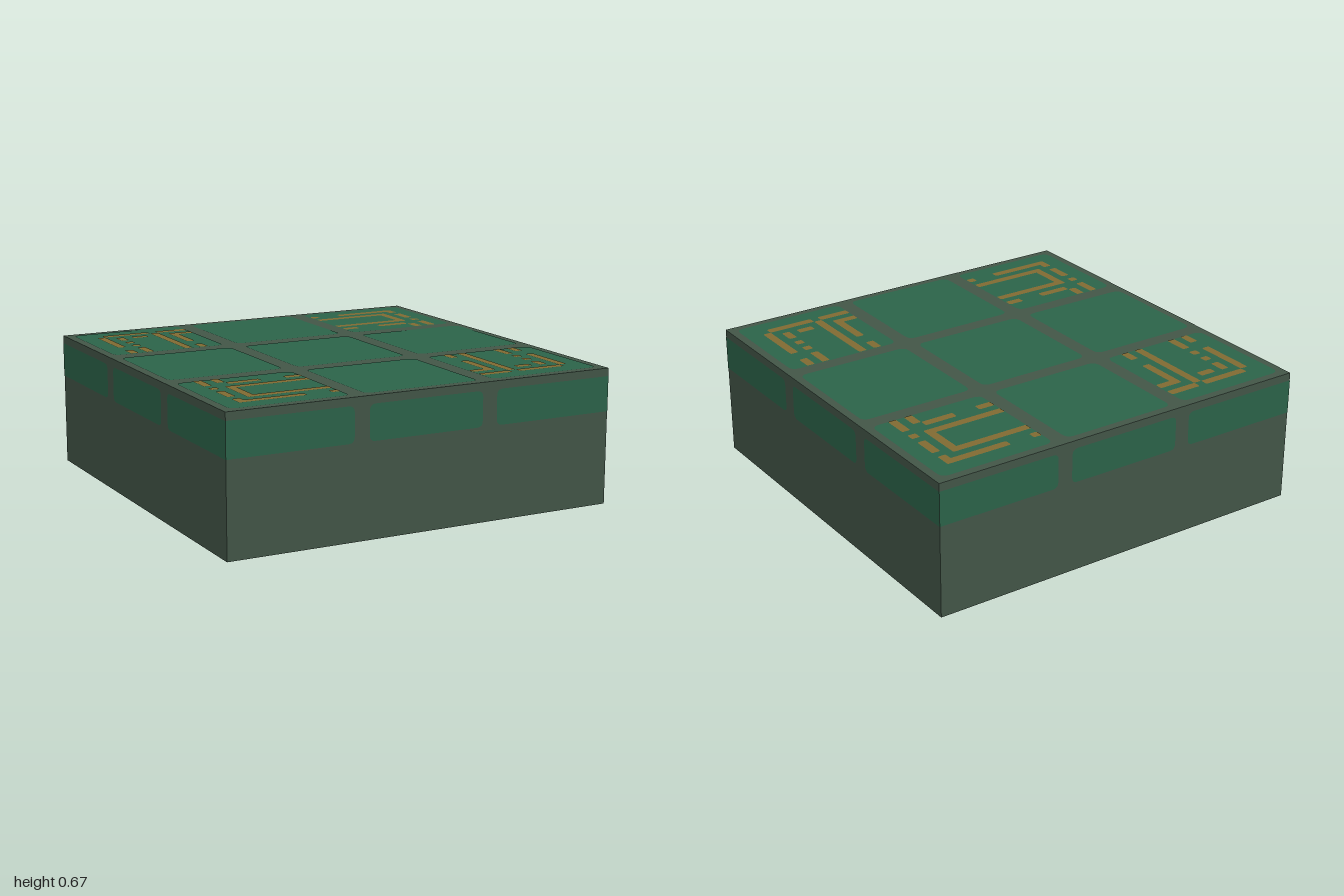
import * as THREE from 'three';

const HEIGHT = 0.667;
const CELL = 2 / 48; // traces sit on a 48 x 48 grid

const stone = new THREE.MeshStandardMaterial({ name: 'grey green body', color: 0x425547 });
const green = new THREE.MeshStandardMaterial({ name: 'green panel', color: 0x2b6349 });
const copper = new THREE.MeshStandardMaterial({ name: 'copper trace', color: 0x806a32 });

// Flat rectangle with separate corner radii on its left and right ends
function plate(x0, y0, x1, y1, rl, rr = rl) {
  const s = new THREE.Shape();
  s.moveTo(x0 + rl, y0);
  s.lineTo(x1 - rr, y0);
  if (rr) s.quadraticCurveTo(x1, y0, x1, y0 + rr);
  s.lineTo(x1, y1 - rr);
  if (rr) s.quadraticCurveTo(x1, y1, x1 - rr, y1);
  s.lineTo(x0 + rl, y1);
  if (rl) s.quadraticCurveTo(x0, y1, x0, y1 - rl);
  s.lineTo(x0, y0 + rl);
  if (rl) s.quadraticCurveTo(x0, y0, x0 + rl, y0);
  return new THREE.ShapeGeometry(s, 4);
}

function add(parent, name, geometry, material) {
  const mesh = new THREE.Mesh(geometry, material);
  mesh.name = name;
  parent.add(mesh);
  return mesh;
}

// Trace runs: [first column, first row, last column, last row]
const backLeftTraces = [
  [4, 3, 9, 3], [11, 3, 14, 3], [3, 4, 3, 10], [3, 13, 3, 14],
  [5, 5, 5, 6], [5, 8, 5, 8], [5, 10, 5, 10], [5, 12, 5, 14],
  [7, 5, 8, 5], [10, 4, 10, 14], [12, 5, 12, 10], [12, 5, 14, 5], [12, 13, 12, 14],
];
const backRightTraces = [
  [33, 3, 33, 3], [37, 3, 44, 3], [44, 3, 44, 4], [44, 6, 44, 8], [44, 10, 44, 10], [44, 12, 44, 14],
  [33, 5, 42, 5], [42, 5, 42, 10], [33, 10, 42, 10],
  [33, 12, 34, 12], [38, 12, 41, 12], [42, 13, 42, 14],
];

export function createModel() {
  const model = new THREE.Group();
  model.name = 'block';

  const body = add(model, 'body', new THREE.BoxGeometry(2, HEIGHT, 2), stone);
  body.position.y = HEIGHT / 2;

  // Nine panels on the top
  const top = new THREE.Group();
  top.name = 'topPanels';
  const spans = [[-0.96, -0.373], [-0.297, 0.297], [0.373, 0.96]];
  for (const [x0, x1] of spans) {
    for (const [y0, y1] of spans) add(top, 'topPanel', plate(x0, y0, x1, y1, 0.04), green);
  }
  top.rotation.x = -Math.PI / 2;
  top.position.y = HEIGHT + 0.0015;
  model.add(top);

  // Two trace layouts, each repeated half a turn around
  for (let turn = 0; turn < 2; turn++) {
    const traces = new THREE.Group();
    traces.name = 'copperTraces';
    for (const [c0, r0, c1, r1] of [...backLeftTraces, ...backRightTraces]) {
      const geometry = plate(c0 * CELL - 1, 1 - (r1 + 1) * CELL, (c1 + 1) * CELL - 1, 1 - r0 * CELL, 0.009);
      add(traces, 'trace', geometry, copper);
    }
    traces.rotation.set(-Math.PI / 2, 0, turn * Math.PI);
    traces.position.y = HEIGHT + 0.003;
    model.add(traces);
  }

  // Three panels along the upper edge of each side
  for (let i = 0; i < 4; i++) {
    const side = new THREE.Group();
    side.name = 'sidePanels';
    const row = [[-1, -0.373, 0, 0.03], [-0.297, 0.297, 0.03, 0.03], [0.373, 1, 0.03, 0]];
    for (const [x0, x1, rl, rr] of row) {
      add(side, 'sidePanel', plate(x0, 0.457, x1, 0.628, rl, rr), green).position.z = 1.0015;
    }
    side.rotation.y = i * Math.PI / 2;
    model.add(side);
  }
  return model;
}
